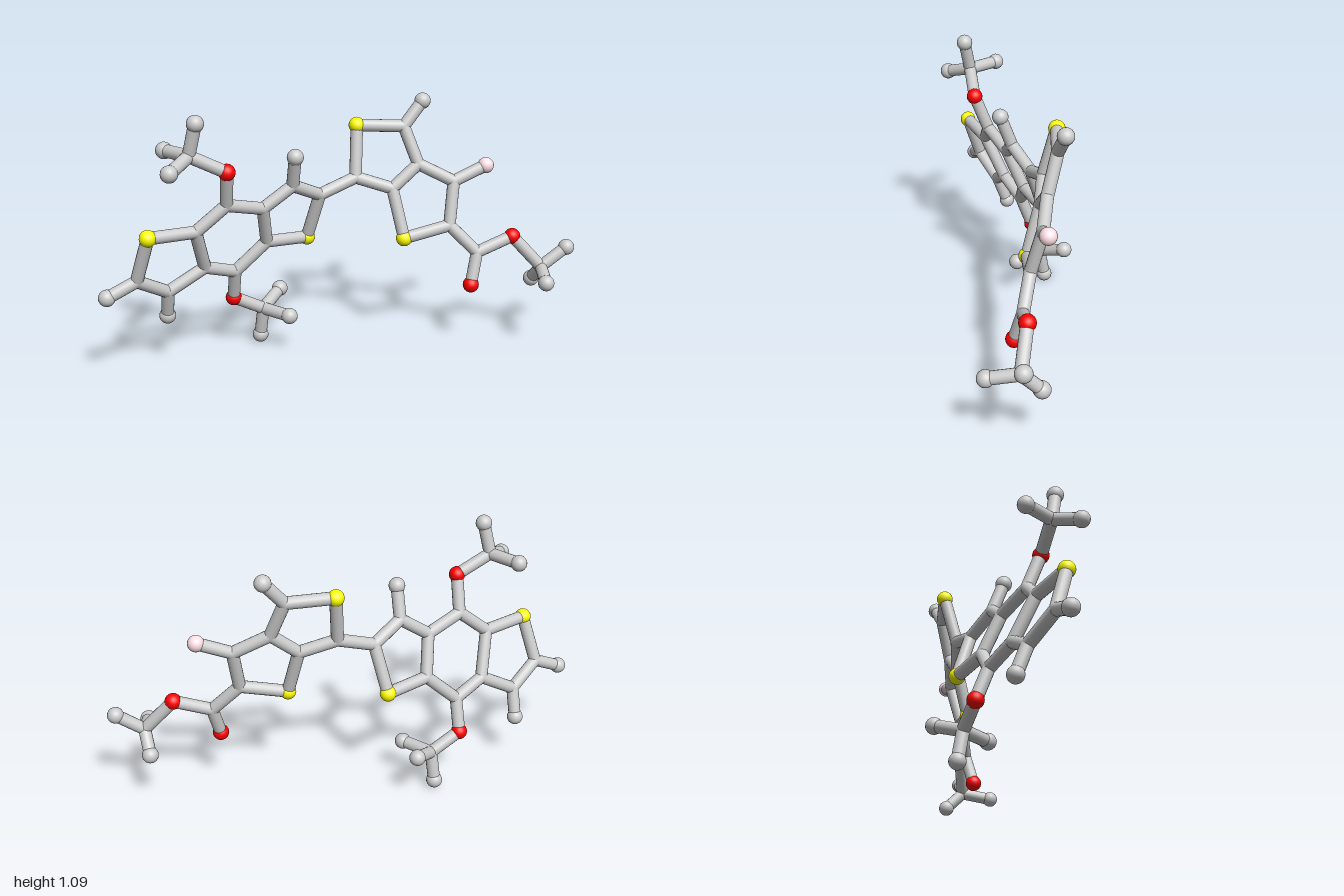
import * as THREE from 'three';

const BALL = 0.034, ROD = 0.026;
const grey = new THREE.MeshStandardMaterial({ color: 0xcccccc });
const yellow = new THREE.MeshStandardMaterial({ color: 0xffff00 });
const red = new THREE.MeshStandardMaterial({ color: 0xff0000 });
const pink = new THREE.MeshStandardMaterial({ color: 0xffdfe6 });

// The two flat ring systems each lie in a tilted plane
const leftPlane = (x, y) => new THREE.Vector3(x, y, -0.342 - 0.266 * x + 0.372 * y);
const rightPlane = (x, y) => new THREE.Vector3(x, y, 0.079 + 0.159 * x - 0.254 * y);
const free = (x, y, z) => new THREE.Vector3(x, y, z);

const joints = {
  // three fused rings
  a1: leftPlane(-0.85, 0.417), a2: leftPlane(-0.72, 0.335),
  a3: leftPlane(-0.565, 0.42), a4: leftPlane(-0.61, 0.60),
  b1: leftPlane(-0.485, 0.70), b2: leftPlane(-0.325, 0.655),
  b3: leftPlane(-0.297, 0.49), b4: leftPlane(-0.43, 0.37),
  c1: leftPlane(-0.20, 0.74), c2: leftPlane(-0.07, 0.675),
  // two fused rings
  d1: rightPlane(0.09, 0.73), d2: rightPlane(0.305, 0.93),
  d3: rightPlane(0.355, 0.775), d4: rightPlane(0.24, 0.68),
  e1: rightPlane(0.47, 0.52), e2: rightPlane(0.50, 0.70),
  // side branches
  f1: rightPlane(0.58, 0.405), m1: free(-0.635, 0.925, 0.105),
  m2: free(-0.30, 0.165, -0.155), m3: free(0.855, 0.33, 0.121),
};

const balls = {
  sulfurA: [leftPlane(-0.805, 0.61), yellow],
  sulfurC: [leftPlane(-0.11, 0.475), yellow],
  sulfurD: [rightPlane(0.11, 0.94), yellow],
  sulfurE: [rightPlane(0.275, 0.475), yellow],
  oxygenTop: [leftPlane(-0.49, 0.85), red],
  oxygenBottom: [leftPlane(-0.43, 0.235), red],
  oxygenDouble: [rightPlane(0.545, 0.272), red],
  oxygenLink: [rightPlane(0.735, 0.465), red],
  fluorine: [rightPlane(0.64, 0.76), pink],
  endA1: [leftPlane(-0.97, 0.365), grey],
  endA2: [leftPlane(-0.72, 0.215), grey],
  endC1: [leftPlane(-0.20, 0.87), grey],
  endD2: [rightPlane(0.39, 1.03), grey],
  tipTop1: [free(-0.61, 1.055, 0.13), grey],
  tipTop2: [free(-0.725, 0.885, 0.193), grey],
  tipTop3: [free(-0.71, 0.923, -0.02), grey],
  tipBottom1: [free(-0.31, 0.037, -0.178), grey],
  tipBottom2: [free(-0.205, 0.212, -0.246), grey],
  tipBottom3: [free(-0.215, 0.165, -0.037), grey],
  tipRight1: [free(0.965, 0.41, 0.13), grey],
  tipRight2: [free(0.85, 0.25, 0.043), grey],
  tipRight3: [free(0.822, 0.302, 0.245), grey],
};

// Each chain is a run of rods between neighbouring atoms
const chains = [
  'sulfurA a1 a2 a3 a4 sulfurA', 'a4 b1 b2 b3 b4 a3', 'b2 c1 c2 sulfurC b3',
  'c2 d1', 'd1 sulfurD d2 d3 d4 d1', 'd4 sulfurE e1 e2 d3',
  'a1 endA1', 'a2 endA2', 'c1 endC1', 'd2 endD2', 'e2 fluorine',
  'b1 oxygenTop m1 tipTop1', 'tipTop2 m1 tipTop3',
  'b4 oxygenBottom m2 tipBottom1', 'tipBottom2 m2 tipBottom3',
  'e1 f1 oxygenLink m3 tipRight1', 'f1 oxygenDouble', 'tipRight2 m3 tipRight3',
];

export function createModel() {
  const model = new THREE.Group();
  model.name = 'molecule';
  const add = (geometry, material, name, position) => {
    const mesh = new THREE.Mesh(geometry, material);
    mesh.name = name;
    mesh.position.copy(position);
    model.add(mesh);
    return mesh;
  };

  // Atoms: large balls for ends and coloured atoms, rod-sized ones at joints
  const ballGeometry = new THREE.SphereGeometry(BALL, 20, 14);
  const jointGeometry = new THREE.SphereGeometry(ROD, 16, 12);
  for (const [name, [p, material]] of Object.entries(balls)) add(ballGeometry, material, name, p);
  for (const [name, p] of Object.entries(joints)) add(jointGeometry, grey, `joint_${name}`, p);

  // Bonds
  const up = new THREE.Vector3(0, 1, 0);
  const at = (name) => joints[name] ?? balls[name][0];
  for (const chain of chains) {
    const names = chain.split(' ');
    for (let i = 1; i < names.length; i++) {
      const from = at(names[i - 1]), to = at(names[i]);
      const along = to.clone().sub(from);
      const rod = add(new THREE.CylinderGeometry(ROD, ROD, along.length(), 16, 1, true), grey,
        `bond_${names[i - 1]}_${names[i]}`, from.clone().add(to).multiplyScalar(0.5));
      rod.quaternion.setFromUnitVectors(up, along.normalize());
    }
  }
  return model;
}
